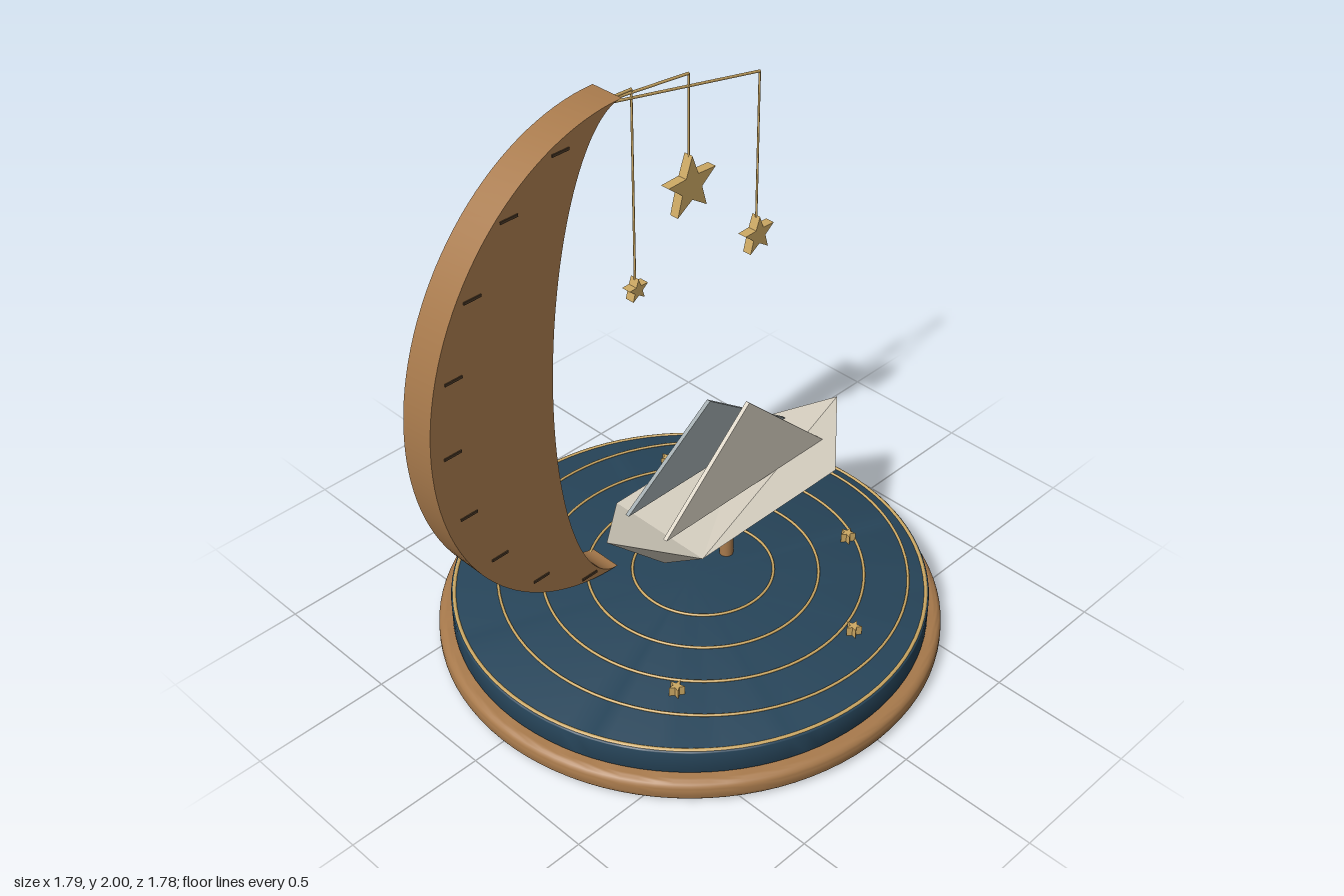
import * as THREE from 'three';
import { toCreasedNormals } from 'three/addons/utils/BufferGeometryUtils.js';

const mat = (color) => new THREE.MeshStandardMaterial({ color });
const wood = mat(0xa87a4c), navy = mat(0x27455a), gold = mat(0xcda964);
const cream = mat(0xd8d1c2), slate = mat(0x9ba5a8), dark = mat(0x4a3826);
const hullMat = new THREE.MeshStandardMaterial({ color: 0xd8d1c2, flatShading: true });
const V = (x, y, z) => new THREE.Vector3(x, y, z);

export function createModel() {
  const model = new THREE.Group();
  const add = (name, geometry, material, x = 0, y = 0, z = 0) => {
    const mesh = new THREE.Mesh(geometry, material);
    mesh.name = name;
    mesh.position.set(x, y, z);
    model.add(mesh);
    return mesh;
  };

  // Turned disc with rounded rims
  const disc = (r, y0, y1, e) => {
    const pts = [new THREE.Vector2(0, y0)];
    for (let i = 0; i <= 6; i++) {
      const a = -Math.PI / 2 + (i / 6) * Math.PI / 2;
      pts.push(new THREE.Vector2(r - e + e * Math.cos(a), y0 + e + e * Math.sin(a)));
    }
    for (let i = 0; i <= 6; i++) {
      const a = (i / 6) * Math.PI / 2;
      pts.push(new THREE.Vector2(r - e + e * Math.cos(a), y1 - e + e * Math.sin(a)));
    }
    pts.push(new THREE.Vector2(0, y1));
    return toCreasedNormals(new THREE.LatheGeometry(pts, 96), 0.6);
  };

  // Centred flat extrusion
  const slab = (points, depth) => {
    const g = new THREE.ExtrudeGeometry(new THREE.Shape(points), { depth, bevelEnabled: false });
    g.translate(0, 0, -depth / 2);
    return toCreasedNormals(g, 0.4);
  };

  const star = (r, depth) => {
    const pts = [];
    for (let i = 0; i < 10; i++) {
      const a = Math.PI / 2 + i * Math.PI / 5, q = i % 2 ? r * 0.42 : r;
      pts.push(new THREE.Vector2(q * Math.cos(a), q * Math.sin(a)));
    }
    return slab(pts, depth);
  };

  const rod = (name, a, b, r) => {
    const m = add(name, new THREE.CylinderGeometry(r, r, a.distanceTo(b), 8), gold);
    m.position.copy(a).lerp(b, 0.5);
    m.quaternion.setFromUnitVectors(V(0, 1, 0), b.clone().sub(a).normalize());
  };

  const ring = (name, r, tube, x, y) => {
    add(name, new THREE.TorusGeometry(r, tube, 8, 96), gold, x, y).rotation.x = Math.PI / 2;
  };

  // Base, sea disc and ripples
  add('base', disc(0.89, 0, 0.08, 0.03), wood);
  add('seaDisc', disc(0.84, 0.08, 0.175, 0.008), navy);
  ring('rimRing', 0.828, 0.007, 0, 0.173);
  [0.25, 0.41, 0.57, 0.725].forEach((r) => ring('ripple', r, 0.005, 0.065, 0.178));

  // Small stars lying on the sea
  [[0.395, -0.51], [0.54, 0.265], [0.185, 0.6], [-0.44, 0.375]].forEach(([x, z]) => {
    add('seaStar', star(0.028, 0.035), gold, x, 0.194, z).rotation.x = -Math.PI / 2;
  });

  // Crescent moon between two half ellipses
  const moonZ = -0.285;
  const arc = (a, t, k = 1) => new THREE.Vector2(
    -0.107 + 0.037 * Math.cos(t) - a * Math.sin(t), 1.09 + 0.91 * k * Math.cos(t));
  const outline = [];
  for (let i = 0; i <= 64; i++) outline.push(arc(0.793, (i / 64) * Math.PI));
  for (let i = 63; i > 0; i--) outline.push(arc(0.293, (i / 64) * Math.PI));
  add('moon', slab(outline, 0.13), wood, 0, 0, moonZ);

  // Tick marks along the outer edge of the moon
  [[-0.325, 1.915], [-0.537, 1.775], [-0.695, 1.566], [-0.79, 1.317], [-0.817, 1.048],
    [-0.775, 0.783], [-0.664, 0.545], [-0.495, 0.344], [-0.278, 0.217]].forEach(([x, y]) => {
    add('tickMark', new THREE.BoxGeometry(0.068, 0.009, 0.008), dark, x, y, -0.22);
  });

  // Hanging stars: arm end, star height and radius
  [[0.03, 1.97, 1.24, 0.044], [0.28, 1.935, 1.53, 0.115], [0.613, 1.825, 1.2, 0.075]]
    .forEach(([x, top, y, r]) => {
      const tip = V(x, top, moonZ);
      rod('starArm', V(-0.15, 1.975, moonZ), tip, 0.005);
      rod('starString', tip, V(x, y + r * 0.8, moonZ), 0.004);
      add('hangingStar', star(r, 0.036), gold, x, y, moonZ);
    });

  // Folded boat hull on a post
  add('post', new THREE.CylinderGeometry(0.025, 0.025, 0.17, 24), wood, 0.185, 0.25, 0);
  const corners = [
    [-0.39, 0.567, 0], [-0.15, 0.477, 0.208], [0.52, 0.477, 0.208],
    [0.76, 0.567, 0], [0.52, 0.477, -0.208], [-0.15, 0.477, -0.208],
    [-0.125, 0.315, 0], [0.5, 0.315, 0],
  ];
  const faces = [
    1, 2, 3, 1, 3, 4, 1, 4, 5, 1, 5, 0,
    0, 6, 1, 1, 6, 7, 1, 7, 2, 2, 7, 3,
    3, 7, 4, 4, 7, 6, 4, 6, 5, 5, 6, 0,
  ];
  const hull = new THREE.BufferGeometry();
  hull.setAttribute('position', new THREE.Float32BufferAttribute(faces.flatMap((i) => corners[i]), 3));
  hull.computeVertexNormals();
  add('hull', hull, hullMat);

  // Triangular sails
  const sail = (name, peak, z, material) => add(name, slab([
    new THREE.Vector2(-0.21, 0.523), new THREE.Vector2(0.575, 0.523), new THREE.Vector2(0.183, peak),
  ], 0.015), material, 0, 0, z);
  sail('frontSail', 0.89, 0.09, cream);
  sail('backSail', 0.803, -0.092, slate);

  return model;
}
